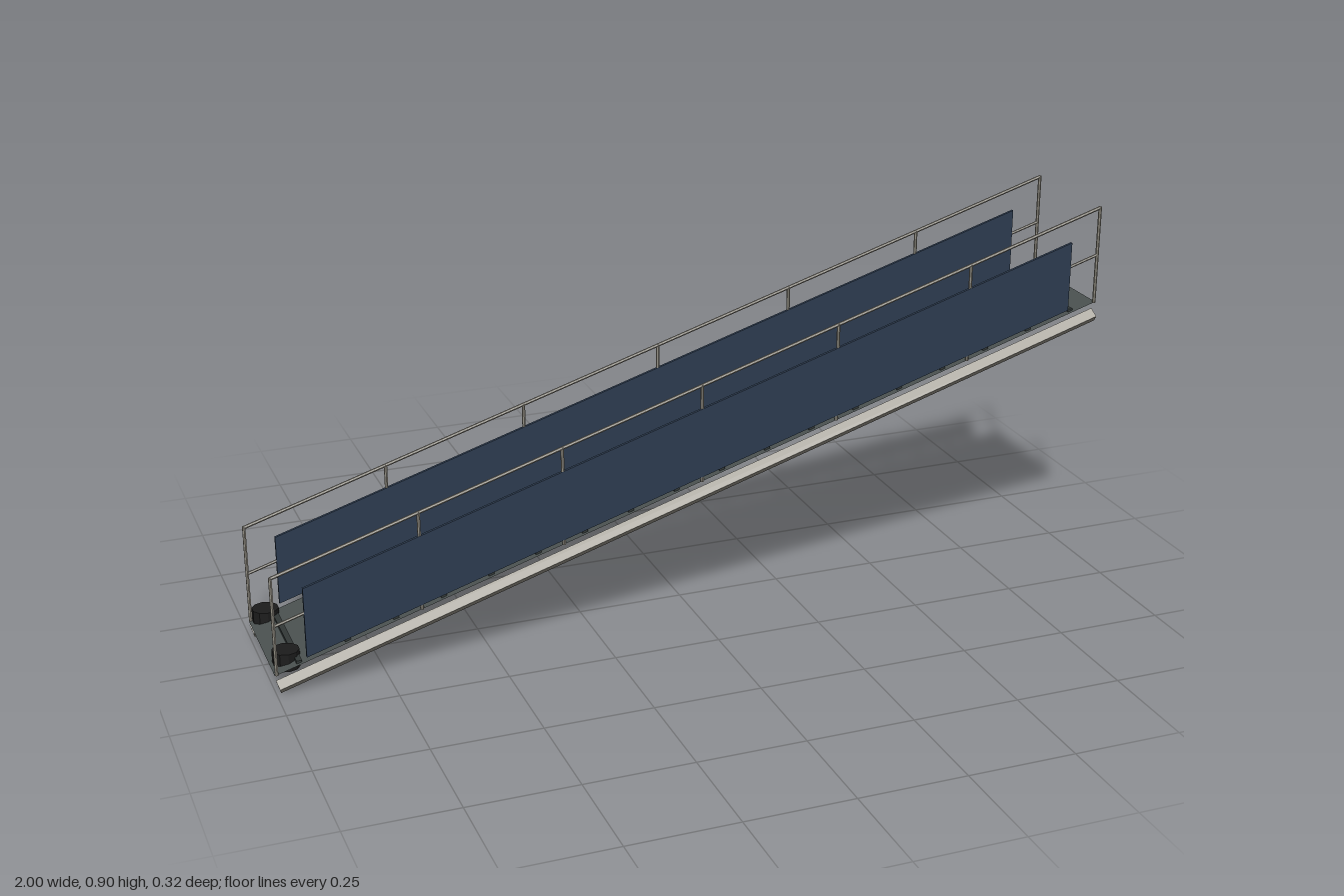
import * as THREE from 'three';

const SLOPE = 0.3095;
const deckY = (x) => 0.356 + SLOPE * x;

export function createModel() {
  const model = new THREE.Group();
  model.name = 'gangway';
  const flat = (name, color, extra = {}) => {
    const m = new THREE.MeshStandardMaterial({ color, flatShading: true, ...extra });
    m.name = name;
    return m;
  };
  const metal = flat('warm grey metal', 0x8f8b80);
  const deckGrey = flat('deck grey', 0x4a5150, { side: THREE.DoubleSide });
  const cleatGrey = flat('dark cleat grey', 0x323837);
  const navy = flat('navy panel', 0x2c3b4f);
  const rubber = flat('black rubber', 0x1c1c1c);

  const add = (name, geometry, material, parent = model) => {
    const mesh = new THREE.Mesh(geometry, material);
    mesh.name = name;
    parent.add(mesh);
    return mesh;
  };

  // Straight bar between two points
  const bar = (name, a, b, radius, sides, parent) => {
    const dir = b.clone().sub(a);
    const mesh = add(name, new THREE.CylinderGeometry(radius, radius, dir.length(), sides), metal, parent);
    mesh.position.copy(a).add(b).multiplyScalar(0.5);
    mesh.quaternion.setFromUnitVectors(new THREE.Vector3(0, 1, 0), dir.normalize());
    return mesh;
  };
  // Point at a height above the sloping deck
  const at = (x, h, z) => new THREE.Vector3(x, deckY(x) + h, z);

  // Sheet deck
  const deck = new THREE.PlaneGeometry(2, 0.286).rotateX(-Math.PI / 2);
  const p = deck.attributes.position;
  for (let i = 0; i < p.count; i++) p.setY(i, deckY(p.getX(i)));
  deck.computeVertexNormals();
  add('deck', deck, deckGrey);

  // Foot cleats across the deck
  const cleats = new THREE.Group();
  cleats.name = 'cleats';
  model.add(cleats);
  for (let i = 0; i < 18; i++) {
    const x = -0.943 + i * 0.1107;
    add('cleat', new THREE.BoxGeometry(0.013, 0.007, 0.268), cleatGrey, cleats)
      .position.set(x, deckY(x) + 0.002, 0);
  }

  for (const side of [1, -1]) {
    const group = new THREE.Group();
    group.name = side > 0 ? 'leftSide' : 'rightSide';
    model.add(group);

    // Diamond-section beam under the deck edge
    bar('sideBeam', at(-0.994, -0.028, side * 0.145), at(0.994, -0.028, side * 0.145), 0.0168, 4, group);

    // Handrail, middle rail and posts
    const z = side * 0.143;
    bar('handrail', at(-0.997, 0.233, z), at(0.997, 0.233, z), 0.004, 6, group);
    bar('middleRail', at(-0.997, 0.118, z), at(0.997, 0.118, z), 0.0035, 6, group);
    for (let i = -3; i <= 3; i++) {
      const x = i * 0.332;
      bar('post', at(x, 0, z), at(x, 0.235, z), 0.004, 6, group);
    }

    // Slanted side panel with upright ends
    const lo = 0.012, hi = 0.178, x0 = -0.928, x1 = 0.925;
    const shape = new THREE.Shape([
      new THREE.Vector2(x0, deckY(x0) + lo), new THREE.Vector2(x1, deckY(x1) + lo),
      new THREE.Vector2(x1, deckY(x1) + hi), new THREE.Vector2(x0, deckY(x0) + hi),
    ]);
    add('sidePanel', new THREE.ExtrudeGeometry(shape, { depth: 0.007, bevelEnabled: false }), navy, group)
      .position.z = z - 0.003;
  }

  // Rollers at the lower end
  for (const z of [0.088, -0.132]) {
    add('roller', new THREE.CylinderGeometry(0.031, 0.031, 0.042, 10), rubber)
      .position.set(-0.963, 0.059, z);
  }
  return model;
}
